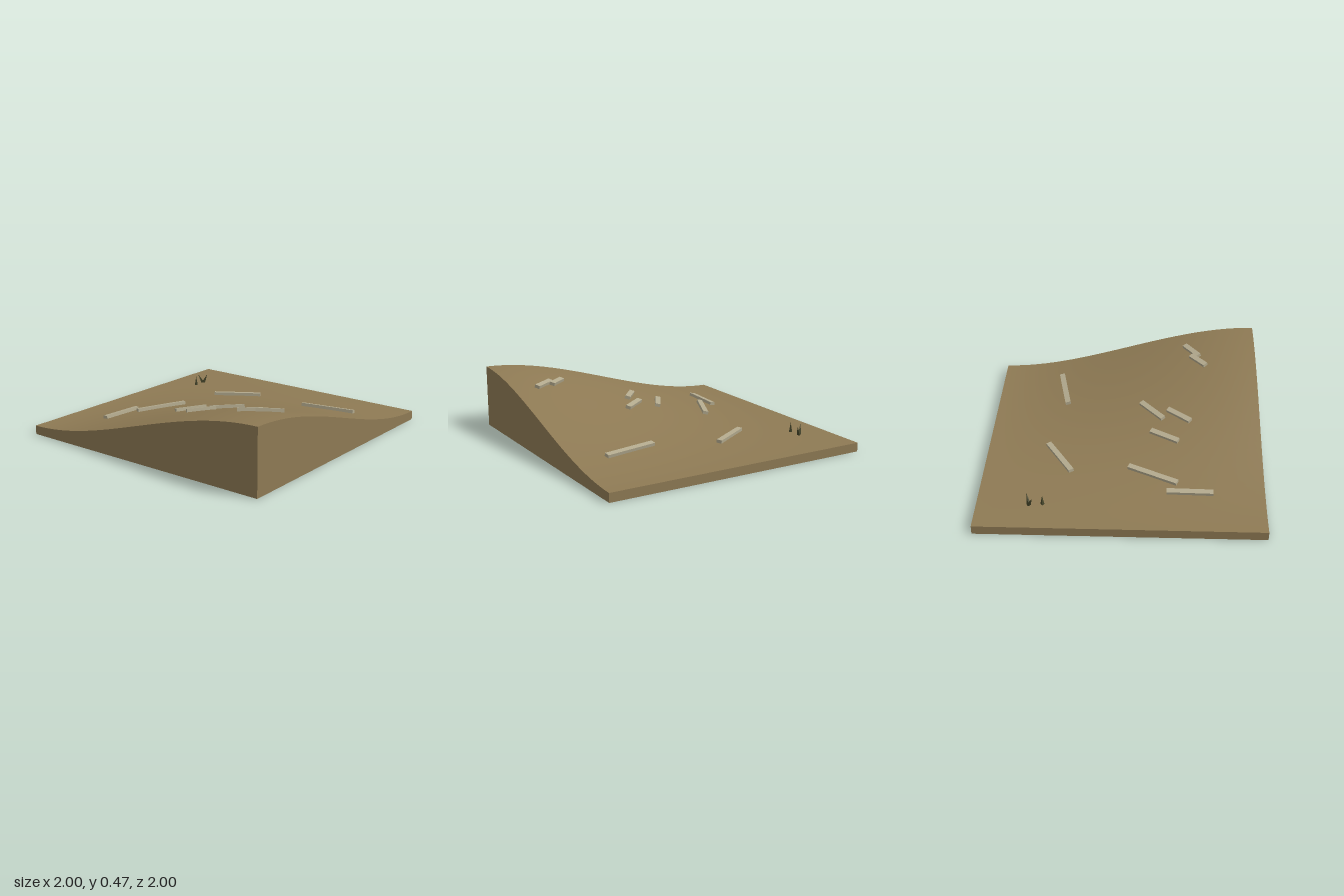
import * as THREE from 'three';

const smooth = (t) => t * t * (3 - 2 * t);
// Ground height: one raised corner at +x, +z
const height = (x, z) => 0.065 + 0.4 * smooth((x + 1) / 2) * smooth((z + 1) / 2);
const onGround = (x, z) => new THREE.Vector3(x, height(x, z), z);

const soil = new THREE.MeshStandardMaterial({ color: 0x8e7a54 });
const wood = new THREE.MeshStandardMaterial({ color: 0xb3aa8e });
const grass = new THREE.MeshStandardMaterial({ color: 0x45452a, flatShading: true });

function makeGround() {
  const geo = new THREE.BoxGeometry(2, 1, 2, 32, 1, 32);
  const p = geo.attributes.position;
  for (let i = 0; i < p.count; i++) {
    p.setY(i, p.getY(i) > 0 ? height(p.getX(i), p.getZ(i)) : 0);
  }
  geo.computeVertexNormals();
  const mesh = new THREE.Mesh(geo, soil);
  mesh.name = 'ground';
  return mesh;
}

// Plank lying on the slope between two ground points
function makePlank([x1, z1, x2, z2]) {
  const a = onGround(x1, z1), b = onGround(x2, z2);
  const along = b.clone().sub(a);
  const length = along.length();
  along.normalize();
  const mx = (x1 + x2) / 2, mz = (z1 + z2) / 2, e = 0.01;
  const up = new THREE.Vector3(
    height(mx - e, mz) - height(mx + e, mz), 2 * e,
    height(mx, mz - e) - height(mx, mz + e));
  up.addScaledVector(along, -up.dot(along)).normalize();
  const side = new THREE.Vector3().crossVectors(along, up);
  const mesh = new THREE.Mesh(new THREE.BoxGeometry(length, 0.024, 0.04), wood);
  mesh.quaternion.setFromRotationMatrix(new THREE.Matrix4().makeBasis(along, up, side));
  mesh.position.copy(onGround(mx, mz)).addScaledVector(up, 0.01);
  mesh.name = 'plank';
  return mesh;
}

// Four-sided spike leaning from its root to its tip
function makeBlade([x, z, tipX, tipZ]) {
  const root = onGround(x, z);
  const lean = new THREE.Vector3(tipX, root.y + 0.073, tipZ).sub(root);
  const geo = new THREE.ConeGeometry(0.015, lean.length(), 4);
  geo.translate(0, lean.length() / 2, 0);
  const mesh = new THREE.Mesh(geo, grass);
  mesh.position.copy(root);
  mesh.quaternion.setFromUnitVectors(new THREE.Vector3(0, 1, 0), lean.normalize());
  mesh.name = 'grassBlade';
  return mesh;
}

export function createModel() {
  const model = new THREE.Group();
  model.name = 'hillCornerTile';
  model.add(makeGround());

  // Plank ends: x, z, x, z
  const planks = new THREE.Group();
  planks.name = 'planks';
  for (const ends of [
    [-0.42, -0.365, -0.11, -0.555], [0.365, -0.445, 0.765, -0.522],
    [-0.555, 0.39, -0.39, 0.045], [-0.633, 0.315, -0.645, 0.64],
    [-0.17, 0.4, -0.053, 0.2], [0.055, 0.29, 0.245, 0.125],
    [0.01, 0.49, 0.14, 0.325], [0.55, 0.615, 0.68, 0.505],
    [0.665, 0.565, 0.82, 0.46],
  ]) planks.add(makePlank(ends));
  model.add(planks);

  // Blade root and tip: x, z, x, z
  const tuft = new THREE.Group();
  tuft.name = 'grassTuft';
  for (const blade of [
    [-0.768, -0.635, -0.793, -0.607], [-0.757, -0.635, -0.73, -0.652],
    [-0.757, -0.54, -0.757, -0.54],
  ]) tuft.add(makeBlade(blade));
  model.add(tuft);

  return model;
}
